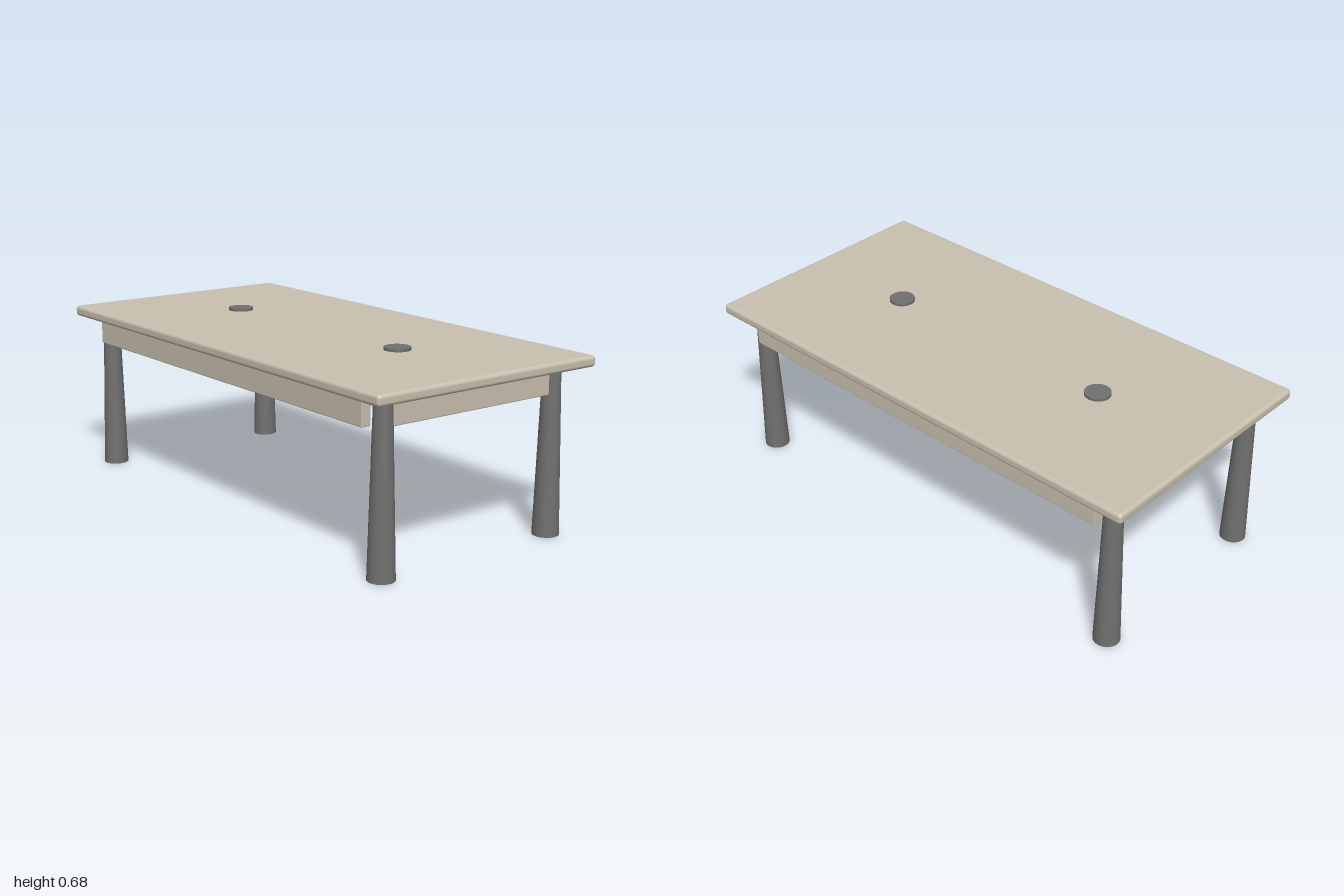
import * as THREE from 'three';
import { RoundedBoxGeometry } from 'three/addons/geometries/RoundedBoxGeometry.js';

export function createModel() {
  const group = new THREE.Group();
  const wood = new THREE.MeshStandardMaterial({ color: 0xc8bfae });
  const metal = new THREE.MeshStandardMaterial({ color: 0x707070 });

  const add = (name, geometry, material, x, y, z) => {
    const mesh = new THREE.Mesh(geometry, material);
    mesh.name = name;
    mesh.position.set(x, y, z);
    group.add(mesh);
  };

  // Table top with softened edges
  add('tableTop', new RoundedBoxGeometry(2, 0.042, 1, 4, 0.014), wood, 0, 0.651, 0);

  const leg = new THREE.CylinderGeometry(0.033, 0.05, 0.632, 32);
  const disc = new THREE.CylinderGeometry(0.05, 0.05, 0.012, 32);
  const longApron = new RoundedBoxGeometry(1.72, 0.09, 0.04, 2, 0.004);
  const sideApron = new RoundedBoxGeometry(0.04, 0.09, 0.72, 2, 0.004);

  for (const s of [-1, 1]) {
    const side = s > 0 ? 'left' : 'right';
    const face = s > 0 ? 'front' : 'back';
    // Tapered legs
    add(`${side}FrontLeg`, leg, metal, s * 0.89, 0.316, 0.39);
    add(`${side}BackLeg`, leg, metal, s * 0.89, 0.316, -0.39);
    // Rails below the top
    add(`${face}Apron`, longApron, wood, 0, 0.575, s * 0.435);
    add(`${side}Apron`, sideApron, wood, s * 0.89, 0.575, 0);
    // Round inserts on the top surface
    add(`${side}Disc`, disc, metal, s * 0.5, 0.677, 0);
  }
  return group;
}
